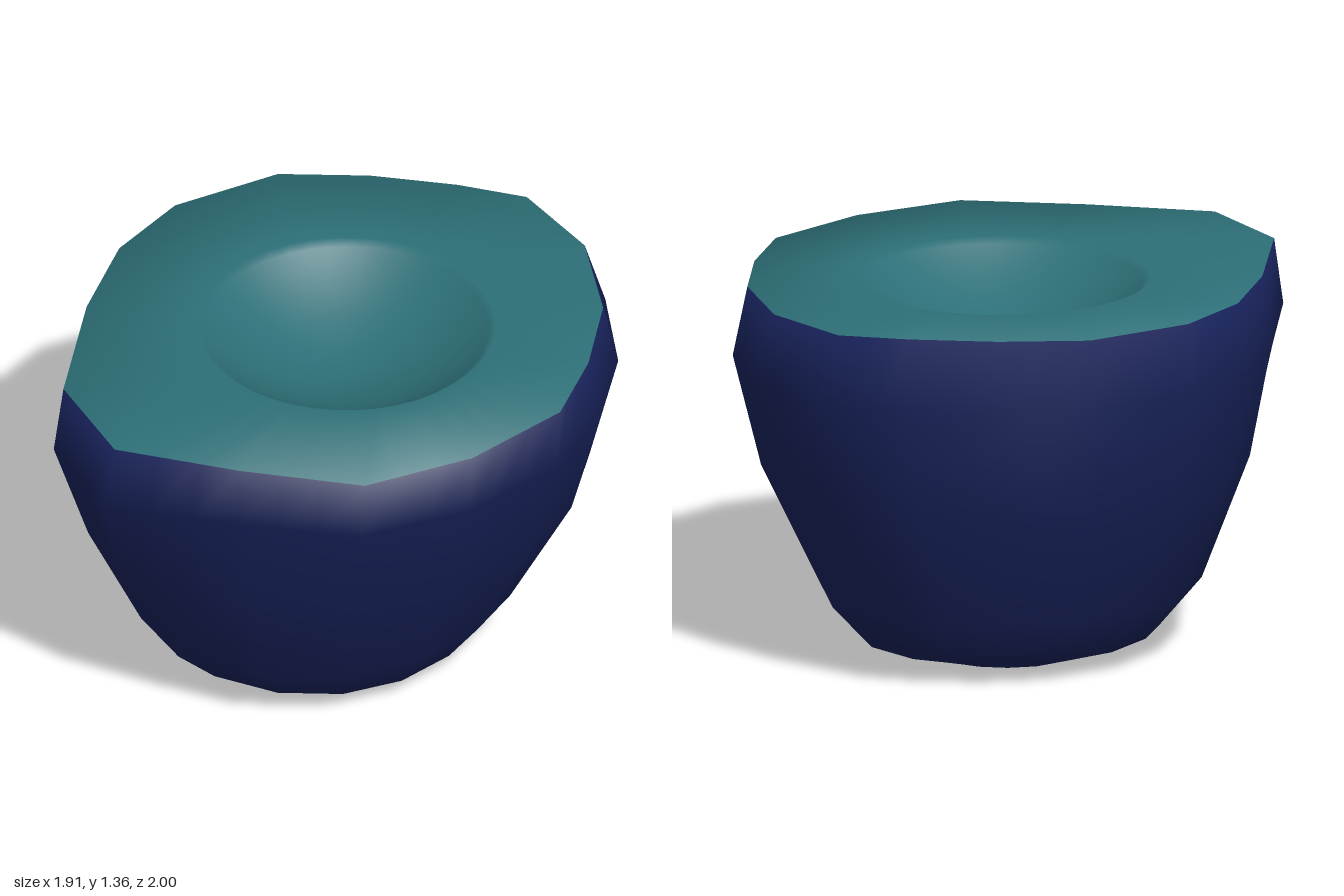
import * as THREE from 'three';

// Outline at the widest level and at the cut rim, [x, z], from -x round the front to +x and the back
const WIDEST = [[-.96, .05], [-.95, .63], [-.71, .96], [-.2, .97], [.24, .97], [.6, .74], [.86, .42], [.955, .1],
  [.955, -.28], [.84, -.65], [.57, -.94], [.25, -.99], [-.08, -1], [-.42, -.94], [-.76, -.66], [-.92, -.31]];
const RIM = [[-.93, .08], [-.92, .6], [-.67, .94], [-.2, .99], [.26, 1], [.61, .76], [.87, .42], [.915, .1],
  [.905, -.25], [.77, -.62], [.51, -.88], [.25, -.91], [-.07, -.91], [-.4, -.86], [-.73, -.6], [-.88, -.3]];

const SUB = 3; // extra points per outline edge, so the round hollow stays smooth
const N = WIDEST.length * SUB;

function subdivide(ring) {
  const out = [];
  ring.forEach((a, i) => {
    const b = ring[(i + 1) % ring.length];
    for (let s = 0; s < SUB; s++) {
      out.push([a[0] + (b[0] - a[0]) * s / SUB, a[1] + (b[1] - a[1]) * s / SUB]);
    }
  });
  return out;
}

// Lower levels: the widest outline, shrunk and rounded off, fuller along one
// diagonal and a little flatter towards the corner between +x and +z
function lowerRing(cx, cz, rx, rz, round, bulge) {
  return subdivide(WIDEST.map(([x, z]) => {
    const r = Math.hypot(x, z);
    const full = ((x - z) / (r * Math.SQRT2)) ** 8;
    const flat = Math.max(0, (x + z) / (r * Math.SQRT2)) ** 4;
    const k = (1 + (1 / r - 1) * round) * (1 + bulge * full - .05 * flat);
    return [cx + x * k * rx, cz + z * k * rz];
  }));
}

export function createModel() {
  const positions = [];
  const addRing = (ring, y) => ring.forEach(([x, z]) => positions.push(x, y, z));

  // Skin levels from the base up to the rim
  addRing(lowerRing(-.03, -.04, .31, .36, 1, .05), 0);
  addRing(lowerRing(-.035, -.04, .53, .58, 1, .13), .075);
  addRing(lowerRing(-.04, -.04, .67, .73, 1, .15), .25);
  addRing(lowerRing(-.01, -.01, .905, .925, .3, 0), .7);
  addRing(subdivide(WIDEST), 1.11);
  const rim = subdivide(RIM);
  addRing(rim, 1.36);
  const rimLevel = 5;

  // Flat cut face running in to the lip, then the shallow bowl-shaped hollow
  const lip = .54, lipY = 1.355, depth = .22;
  const bowl = [1, .95, .85, .7, .5, .25];
  bowl.forEach(t => addRing(rim.map(([x, z]) => {
    const a = Math.atan2(z, x);
    return [.01 + Math.cos(a) * lip * t, .01 + Math.sin(a) * lip * t];
  }), lipY - depth * (1 - t * t)));
  const levels = rimLevel + 1 + bowl.length;

  const baseCentre = levels * N;
  const bowlCentre = baseCentre + 1;
  positions.push(-.03, 0, -.04, .01, lipY - depth, .01);

  // Faces between neighbouring levels, closed by a fan at each end
  const skin = [], flesh = [];
  for (let i = 0; i < N; i++) {
    const j = (i + 1) % N;
    for (let l = 0; l < levels - 1; l++) {
      const a = l * N + i, b = l * N + j, c = b + N, d = a + N;
      (l < rimLevel ? skin : flesh).push(a, b, c, a, c, d);
    }
    skin.push(baseCentre, j, i);
    const top = (levels - 1) * N;
    flesh.push(bowlCentre, top + i, top + j);
  }

  // Smooth normals run across the rim, shared by both parts
  const whole = new THREE.BufferGeometry();
  whole.setAttribute('position', new THREE.Float32BufferAttribute(positions, 3));
  whole.setIndex([...skin, ...flesh]);
  whole.computeVertexNormals();
  const normal = whole.attributes.normal;
  const na = new THREE.Vector3(), nb = new THREE.Vector3();
  for (let l = 0; l <= rimLevel; l++) {
    for (let i = 0; i < N; i += SUB) {
      na.fromBufferAttribute(normal, l * N + i);
      nb.fromBufferAttribute(normal, l * N + (i + SUB) % N);
      for (let s = 1; s < SUB; s++) {
        const n = na.clone().lerp(nb, s / SUB).normalize();
        normal.setXYZ(l * N + i + s, n.x, n.y, n.z);
      }
    }
  }

  const group = new THREE.Group();
  const addPart = (name, index, color) => {
    const geometry = new THREE.BufferGeometry();
    geometry.setAttribute('position', whole.attributes.position.clone());
    geometry.setAttribute('normal', normal.clone());
    geometry.setIndex(index);
    const mesh = new THREE.Mesh(geometry, new THREE.MeshStandardMaterial({ color }));
    mesh.name = name;
    group.add(mesh);
  };
  addPart('skin', skin, 0x162056);
  addPart('cutFaceWithHollow', flesh, 0x2d6f77);
  return group;
}
